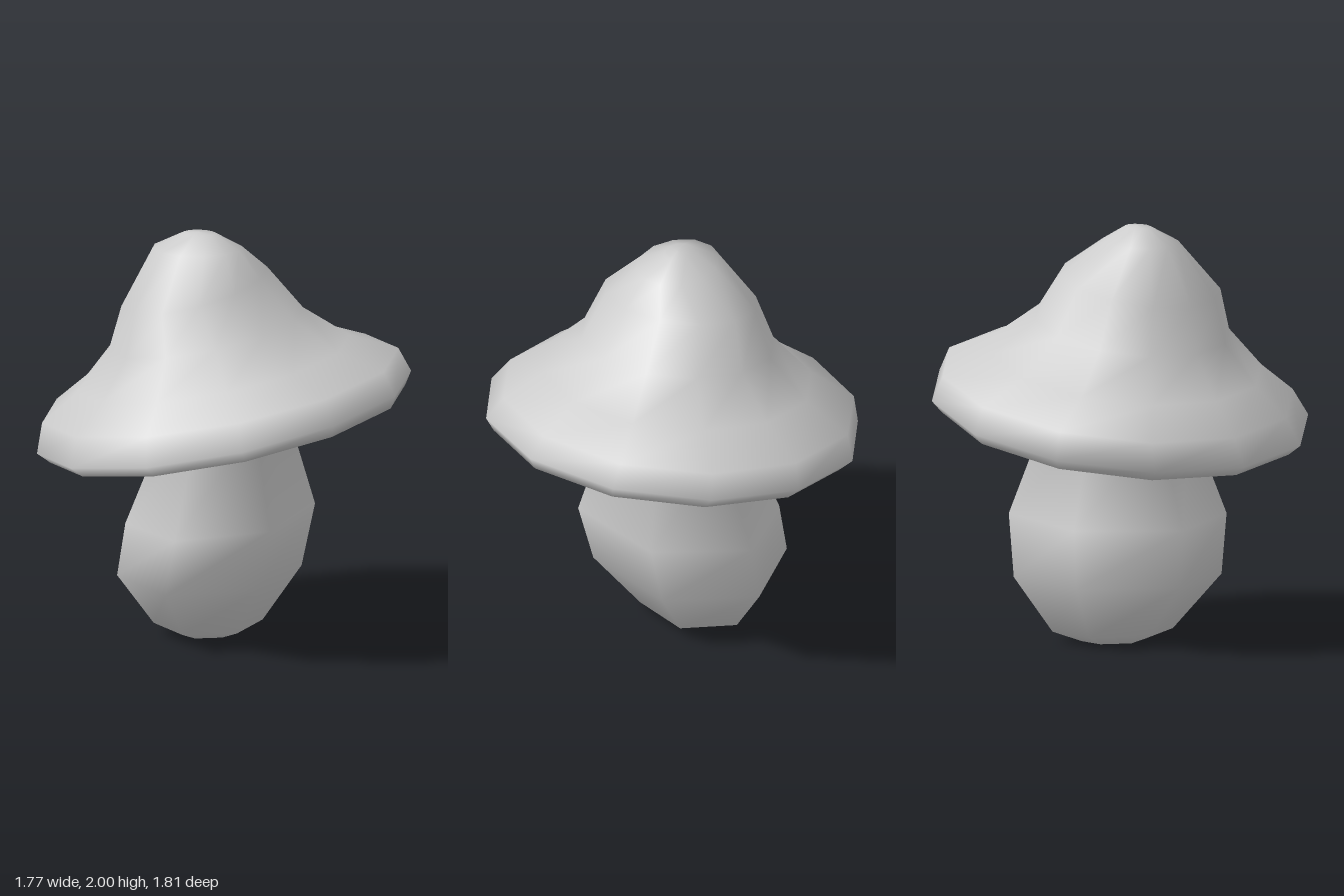
import * as THREE from 'three';

// Lofts a smooth, open-ended skin through tilted rings, listed from the bottom start outwards and up.
// Ring: [centre x, y, z, radius x, radius z, slope along x, slope along z]
function loft(rings, sides, turnDegrees) {
  const pos = [], index = [];
  const turn = THREE.MathUtils.degToRad(turnDegrees);
  for (const [cx, cy, cz, rx, rz, sx, sz] of rings) {
    for (let j = 0; j < sides; j++) {
      const a = turn + (j / sides) * Math.PI * 2;
      const dx = rx * Math.cos(a), dz = rz * Math.sin(a);
      pos.push(cx + dx, cy + dx * sx + dz * sz, cz + dz);
    }
  }
  for (let i = 0; i < rings.length - 1; i++) {
    for (let j = 0; j < sides; j++) {
      const a = i * sides + j, b = i * sides + ((j + 1) % sides);
      const c = a + sides, d = b + sides;
      index.push(a, c, b, b, c, d);
    }
  }
  const geo = new THREE.BufferGeometry();
  geo.setAttribute('position', new THREE.Float32BufferAttribute(pos, 3));
  geo.setIndex(index);
  geo.computeVertexNormals();
  return geo;
}

export function createModel() {
  const group = new THREE.Group();
  const material = new THREE.MeshStandardMaterial({ color: 0xcccccc, side: THREE.DoubleSide });
  const add = (name, geometry) => {
    const mesh = new THREE.Mesh(geometry, material);
    mesh.name = name;
    group.add(mesh);
  };

  // Six-sided bulging stem, open at the foot and flaring out where it meets the cap
  add('stem', loft([
    [-0.10, 0.00, -0.07, 0.128, 0.152, 0, 0],
    [-0.10, 0.05, -0.07, 0.257, 0.293, 0, 0],
    [-0.085, 0.31, -0.04, 0.434, 0.506, 0.02, -0.01],
    [-0.025, 0.60, -0.02, 0.445, 0.531, 0.07, -0.02],
    [0.00, 1.09, -0.01, 0.28, 0.34, 0.18, -0.03],
    [0.02, 1.17, 0.00, 0.52, 0.53, 0.2, -0.04],
  ], 6, 39));

  // Twelve-sided tilted cap: underside with an opening, rim, brim and crown
  add('cap', loft([
    [0.02, 1.14, 0.00, 0.47, 0.48, 0.2, -0.04],
    [0.02, 1.05, 0.00, 0.85, 0.86, 0.2, -0.04],
    [0.00, 1.105, 0.00, 0.895, 0.915, 0.2, -0.04],
    [-0.025, 1.23, -0.02, 0.855, 0.85, 0.19, -0.04],
    [-0.05, 1.345, 0.015, 0.655, 0.655, 0.19, -0.04],
    [-0.08, 1.52, 0.035, 0.465, 0.47, 0.195, -0.05],
    [-0.13, 1.73, 0.06, 0.345, 0.39, 0.22, -0.09],
    [-0.115, 1.925, 0.065, 0.22, 0.18, 0.02, 0],
    [-0.105, 1.995, 0.055, 0.08, 0.06, 0, 0],
    [-0.105, 2.00, 0.055, 0, 0, 0, 0],
  ], 12, 7.5));

  return group;
}
